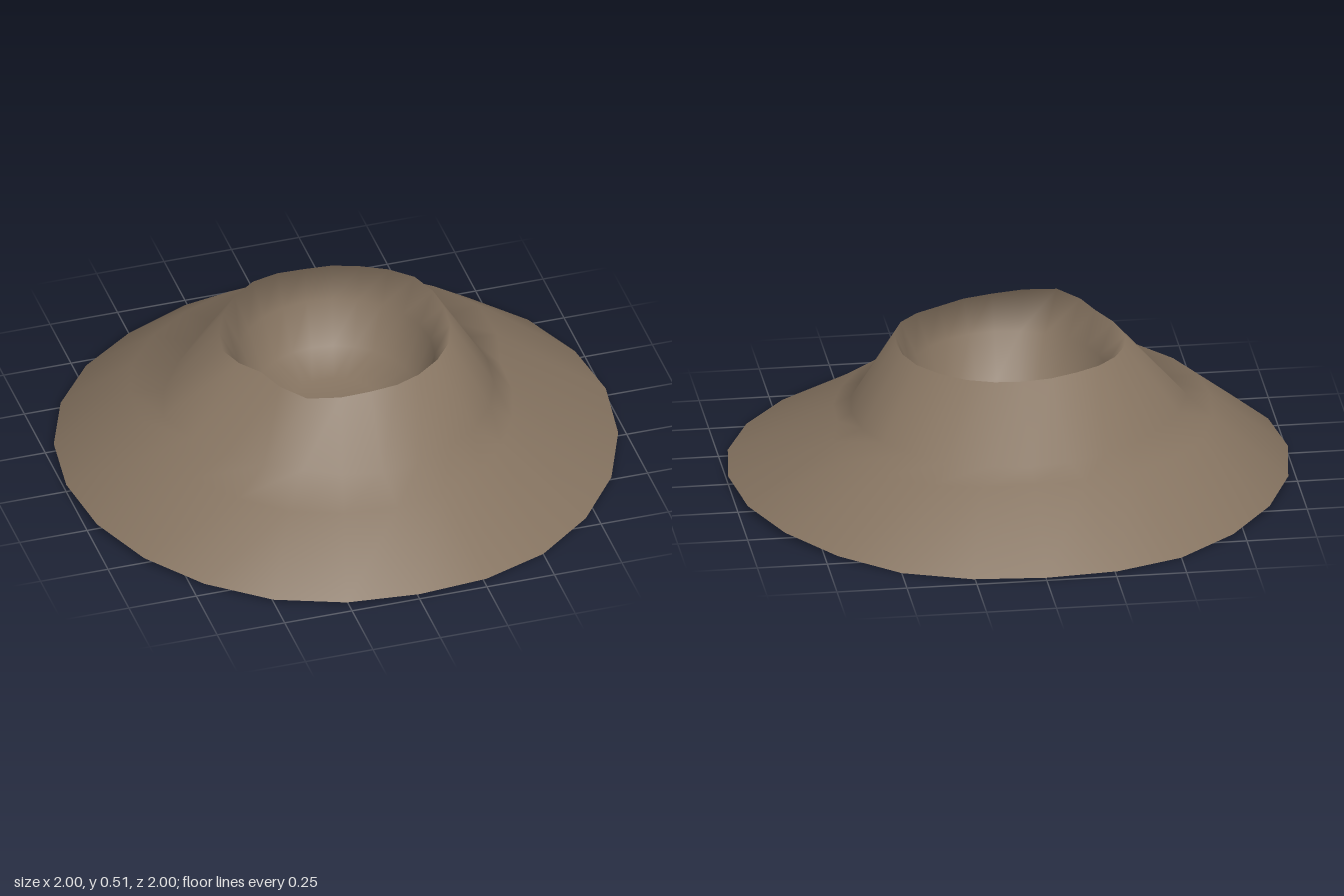
import * as THREE from 'three';

const SEGMENTS = 24;

// Twelve values around the circle, starting at +x and turning toward +z.
const shoulderRadius = [0.61, 0.64, 0.69, 0.74, 0.75, 0.74, 0.72, 0.74, 0.72, 0.70, 0.73, 0.74];
const shoulderHeight = [0.22, 0.21, 0.21, 0.22, 0.22, 0.23, 0.25, 0.23, 0.23, 0.24, 0.23, 0.22];
const ledgeRadius = [0.56, 0.56, 0.55, 0.56, 0.53, 0.57, 0.64, 0.58, 0.56, 0.56, 0.56, 0.56];
const rimRadius = [0.40, 0.41, 0.40, 0.41, 0.46, 0.39, 0.42, 0.41, 0.40, 0.38, 0.39, 0.41];
const rimHeight = [0.51, 0.50, 0.49, 0.50, 0.51, 0.51, 0.49, 0.50, 0.51, 0.50, 0.50, 0.51];
const footHeight = [0.03, 0.01, 0.00, 0.02, 0.01, 0.02, 0.03, 0.02, 0.00, 0.01, 0.00, 0.02];

// Reads a constant, or a twelve-value ring blended to the segment count.
function around(value, j) {
  if (typeof value === 'number') return value;
  const t = (j / SEGMENTS) * value.length;
  const k = Math.floor(t);
  const a = value[k % value.length];
  const b = value[(k + 1) % value.length];
  return a + (b - a) * (t - k);
}

// Cross-section rings from the foot, over the rim and down to the pit floor.
const rings = [
  [1.0, footHeight],
  [shoulderRadius, shoulderHeight],
  [ledgeRadius, 0.25],
  [rimRadius, rimHeight],
  [0.35, 0.38],
  [0.29, 0.22],
  [0.16, 0.17],
];

function craterGeometry() {
  const positions = [];
  const indices = [];
  for (const [radius, height] of rings) {
    for (let j = 0; j < SEGMENTS; j++) {
      const angle = (j / SEGMENTS) * Math.PI * 2;
      const r = around(radius, j);
      positions.push(r * Math.cos(angle), around(height, j), r * Math.sin(angle));
    }
  }
  const centre = positions.length / 3;
  positions.push(0, 0.16, 0);

  for (let i = 0; i < rings.length; i++) {
    for (let j = 0; j < SEGMENTS; j++) {
      const next = (j + 1) % SEGMENTS;
      const a = i * SEGMENTS + j;
      const b = i * SEGMENTS + next;
      if (i === rings.length - 1) {
        indices.push(a, centre, b);
      } else {
        const c = a + SEGMENTS;
        const d = b + SEGMENTS;
        indices.push(a, c, b, b, c, d);
      }
    }
  }

  const geometry = new THREE.BufferGeometry();
  geometry.setAttribute('position', new THREE.Float32BufferAttribute(positions, 3));
  geometry.setIndex(indices);
  geometry.computeVertexNormals();
  return geometry;
}

export function createModel() {
  const model = new THREE.Group();
  model.name = 'craterMound';

  const earth = new THREE.MeshStandardMaterial({ color: 0x857360, side: THREE.DoubleSide });
  earth.name = 'brown earth';

  // Open-bottomed shell: slope, ledge, rim and pit in one smooth skin
  const crater = new THREE.Mesh(craterGeometry(), earth);
  crater.name = 'craterShell';
  model.add(crater);

  return model;
}
